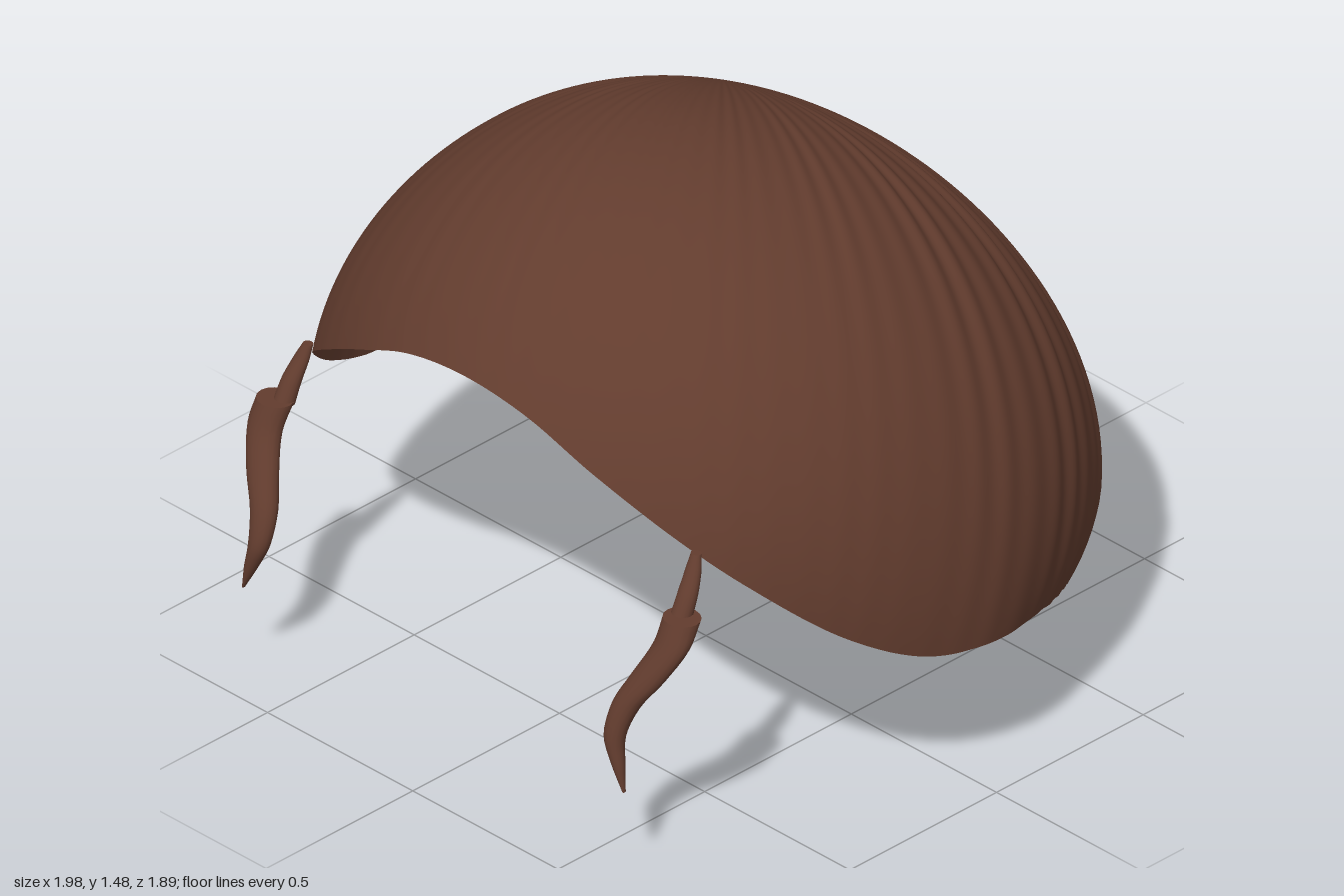
import * as THREE from 'three';

// Skin a surface over closed rings listed from top to bottom
function loft(rings) {
  const n = rings[0].length, pos = [], idx = [];
  rings.forEach(ring => ring.forEach(p => pos.push(p.x, p.y, p.z)));
  for (let j = 0; j < rings.length - 1; j++) {
    for (let i = 0; i < n; i++) {
      const a = j * n + i, c = j * n + (i + 1) % n;
      idx.push(a, a + n, c, c, a + n, c + n);
    }
  }
  const g = new THREE.BufferGeometry();
  g.setAttribute('position', new THREE.Float32BufferAttribute(pos, 3));
  g.setIndex(idx);
  g.computeVertexNormals();
  return g;
}

const CENTRE = new THREE.Vector3(0, 0.45, 0);
const CROWN = new THREE.Vector3(-0.3, 0.87, -0.35).normalize();

// Distance from the centre to the head of hair: fuller in front and at the four corners, flatter behind
function headRadius(d) {
  const up = Math.max(d.y, 0), xx = d.x * d.x;
  return 0.96 + 0.063 * up * up + 0.115 * up * d.z + 0.04 * xx
    + 0.15 * xx * d.z * d.z - 0.015 * Math.max(-d.z, 0);
}

// Hairline, from the middle of the forehead round the +x side to the nape
const HALF_RIM = [
  [0, 1.11, 0.82], [0.2, 1.08, 0.81], [0.4, 0.99, 0.78], [0.61, 0.86, 0.7], [0.75, 0.745, 0.6],
  [0.89, 0.57, 0.4], [0.965, 0.465, 0.2], [0.99, 0.43, 0], [0.94, 0.4, -0.2], [0.82, 0.32, -0.4],
  [0.63, 0.19, -0.6], [0.4, 0.085, -0.73], [0.2, 0.025, -0.79], [0, 0.003, -0.81],
];

function capGeometry() {
  const pts = HALF_RIM.map(p => new THREE.Vector3(...p));
  const mirrored = pts.slice(1, -1).reverse().map(p => new THREE.Vector3(-p.x, p.y, p.z));
  const rim = new THREE.CatmullRomCurve3([...pts, ...mirrored], true);
  const around = 512, down = 48, rings = [];
  const edge = rim.getSpacedPoints(around).slice(0, around).map(p => {
    const dir = p.clone().sub(CENTRE), r = dir.length();
    dir.normalize();
    return { dir, angle: CROWN.angleTo(dir), tuck: r - headRadius(dir) };
  });
  for (let j = 0; j <= down; j++) {
    const t = 0.01 + 0.99 * j / down;
    rings.push(edge.map((e, i) => {
      // sweep along a great circle from the crown to the hairline
      const s = Math.sin(e.angle);
      const d = CROWN.clone().multiplyScalar(Math.sin((1 - t) * e.angle) / s)
        .addScaledVector(e.dir, Math.sin(t * e.angle) / s);
      // combed ridges, strongest at the back, faint in front and at the hairline
      const u = i / around * Math.PI * 2;
      const comb = Math.sin(62 * u + 1.2 * Math.sin(5 * u)) * (0.7 + 0.3 * Math.sin(17 * u));
      const depth = 0.001 + 0.0055 * THREE.MathUtils.smoothstep(-d.z, -0.25, 0.45);
      const fade = THREE.MathUtils.smoothstep(t, 0.02, 0.45) * (1 - 0.7 * t ** 4);
      return d.multiplyScalar(headRadius(d) + e.tuck * t ** 4 + comb * depth * fade).add(CENTRE);
    }));
  }
  return loft(rings);
}

// Lock made of horizontal oval sections [x, y, z, halfWidth, halfDepth]
function lockGeometry(sections, side) {
  const path = new THREE.CatmullRomCurve3(sections.map(s => new THREE.Vector3(s[0], s[1], s[2])));
  const size = new THREE.CatmullRomCurve3(sections.map(s => new THREE.Vector3(s[3], s[4], 0)));
  const ring = (t, k) => {
    const c = path.getPoint(t), r = size.getPoint(t);
    return Array.from({ length: 16 }, (_, i) => {
      const a = i / 16 * Math.PI * 2;
      return new THREE.Vector3(side * c.x + k * r.x * Math.sin(a), c.y, c.z + k * r.y * Math.cos(a));
    });
  };
  const rings = [ring(0, 0), ring(0, 1)]; // flat top
  for (let j = 0; j <= 24; j++) rings.push(ring(j / 24, 1));
  rings.push(ring(1, 1), ring(1, 0)); // closed end
  return loft(rings);
}

const STALK = [
  [0.668, 0.85, 0.695, 0.014, 0.012], [0.675, 0.81, 0.712, 0.022, 0.018],
  [0.682, 0.76, 0.737, 0.027, 0.024], [0.684, 0.705, 0.762, 0.029, 0.028],
];
const CURL = [
  [0.7, 0.715, 0.775, 0.05, 0.045], [0.7, 0.65, 0.81, 0.05, 0.036], [0.663, 0.56, 0.855, 0.047, 0.033],
  [0.623, 0.48, 0.89, 0.038, 0.031], [0.612, 0.4, 0.917, 0.029, 0.026],
  [0.632, 0.33, 0.925, 0.018, 0.017], [0.655, 0.262, 0.928, 0.003, 0.005],
];

export function createModel() {
  const model = new THREE.Group();
  model.name = 'hair';
  const brown = new THREE.MeshStandardMaterial({ color: 0x623c2e, side: THREE.DoubleSide });
  brown.name = 'brown hair';
  const add = (name, geometry, parent) => {
    const mesh = new THREE.Mesh(geometry, brown);
    mesh.name = name;
    parent.add(mesh);
  };

  // Open shell of combed hair
  add('hairCap', capGeometry(), model);

  // A hanging lock at each temple
  for (const side of [1, -1]) {
    const lock = new THREE.Group();
    lock.name = side > 0 ? 'leftLock' : 'rightLock';
    add('lockStalk', lockGeometry(STALK, side), lock);
    add('lockCurl', lockGeometry(CURL, side), lock);
    model.add(lock);
  }
  return model;
}
